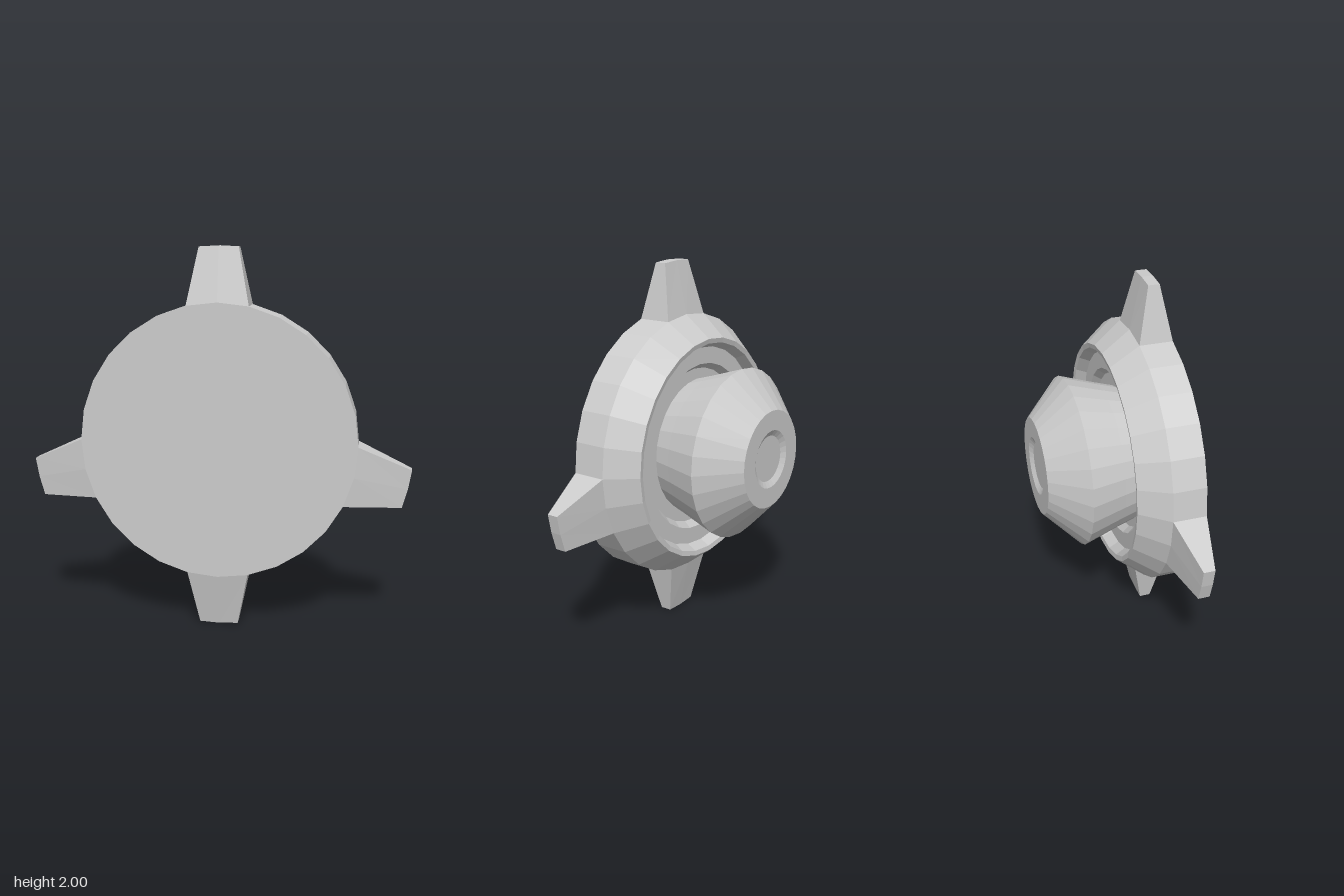
import * as THREE from 'three';

const SIDES = 28;
const STEP = (Math.PI * 2) / SIDES;
const mat = new THREE.MeshStandardMaterial({ color: 0xcccccc, flatShading: true });

// Profile of [radius, z] pairs, from the back centre to the front, turned about z
function turned(name, profile) {
  const pts = profile.map(([r, z]) => new THREE.Vector2(r, z));
  const geo = new THREE.LatheGeometry(pts, SIDES).rotateX(Math.PI / 2);
  const mesh = new THREE.Mesh(geo, mat);
  mesh.name = name;
  return mesh;
}

// Tapered tooth: base spans two rim facets, tip is a small two-facet arc
function toothGeometry() {
  const geo = new THREE.BoxGeometry(2, 2, 2, 2, 1, 1);
  const p = geo.attributes.position;
  for (let i = 0; i < p.count; i++) {
    const tip = p.getY(i) > 0;
    const a = p.getX(i) * (tip ? 0.102 : STEP);
    const r = tip ? 1 : 0.72;
    p.setXYZ(i, r * Math.sin(a), r * Math.cos(a), 0.237 + p.getZ(i) * (tip ? 0.03 : 0.089));
  }
  geo.computeVertexNormals();
  return geo;
}

export function createModel() {
  const model = new THREE.Group();
  model.name = 'toothedKnob';

  // Disc: recessed back with a thin lip, bevel, straight rim, flat front
  model.add(turned('disc', [
    [0, 0.1], [0.43, 0.1], [0.46, 0.06], [0.55, 0.06], [0.578, 0.005], [0.604, 0],
    [0.72, 0.148], [0.72, 0.326], [0, 0.326],
  ]));

  // Boss: dimpled cap, cone and undercut neck, set slightly off centre
  const boss = turned('boss', [
    [0, -0.36], [0.125, -0.36], [0.157, -0.378], [0.265, -0.378],
    [0.462, -0.19], [0.4, 0], [0.37, 0.1],
  ]);
  boss.position.x = -0.025;
  model.add(boss);

  // Teeth: top, bottom and a drooping pair at the sides
  const geo = toothGeometry();
  const side = Math.PI / 2 + STEP;
  const teeth = { topTooth: 0, bottomTooth: Math.PI, leftTooth: -side, rightTooth: side };
  for (const [name, angle] of Object.entries(teeth)) {
    const tooth = new THREE.Mesh(geo, mat);
    tooth.name = name;
    tooth.rotation.z = angle;
    model.add(tooth);
  }

  // The whole part is turned slightly to one side
  model.rotation.y = -THREE.MathUtils.degToRad(5);
  model.position.set(0.018, 1, 0);
  const root = new THREE.Group();
  root.add(model);
  return root;
}
